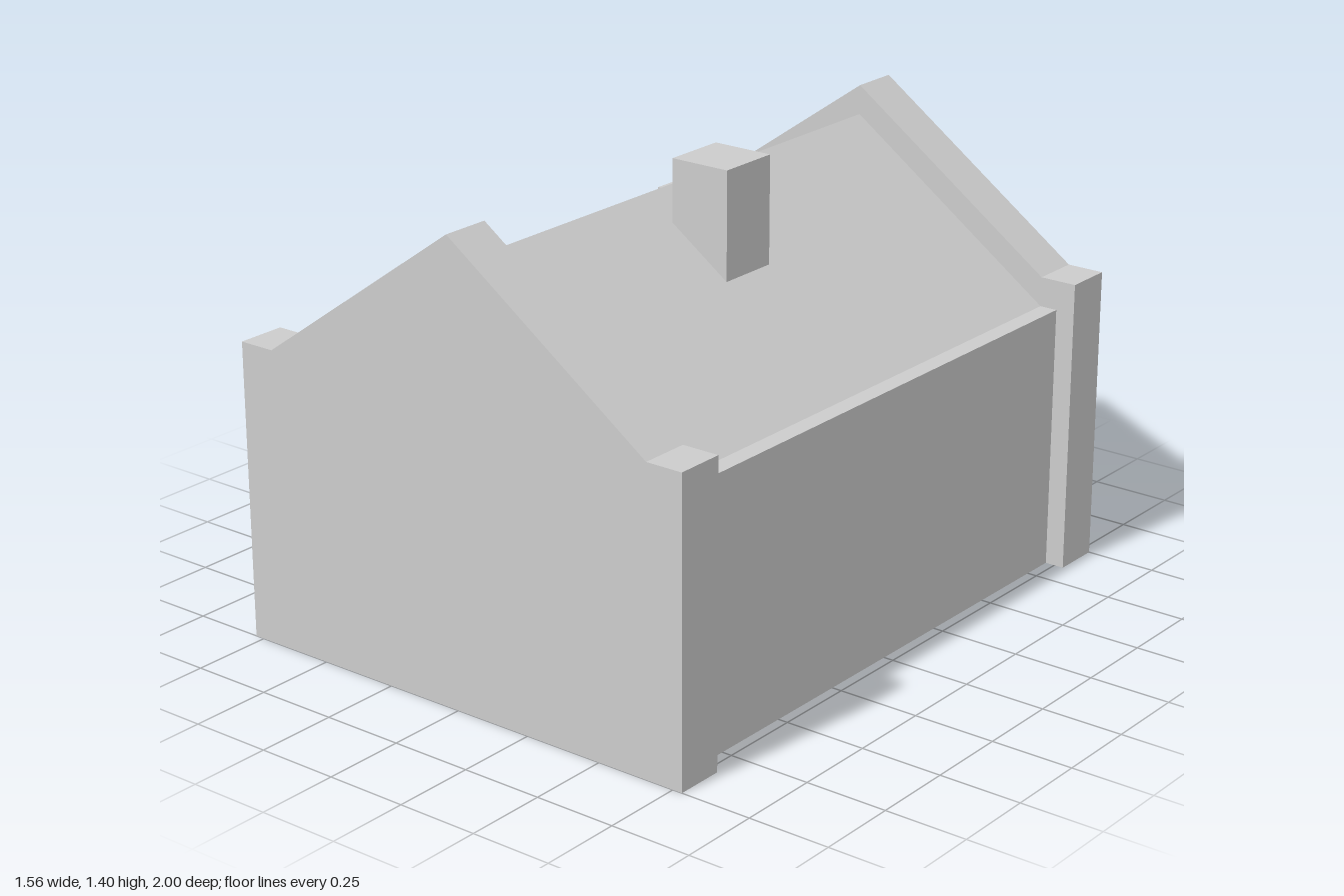
import * as THREE from 'three';

const stone = new THREE.MeshStandardMaterial({ color: 0xcccccc, side: THREE.DoubleSide });
stone.name = 'pale grey stone';

// Outlines run counterclockwise from the left base, over the ridge, to the right base
const mirrored = (half) => [...half, ...half.slice(0, -1).reverse().map(([x, y]) => [-x, y])];
const gableOutline = mirrored([[0.78, 0], [0.78, 0.9], [0.665, 0.9], [0, 1.37]]);
const bodyOutline = mirrored([[0.72, 0], [0.72, 0.81], [0.665, 0.81], [0, 1.28]]);
const chimneyOutline = [[0.285, 1.079], [0.285, 1.4], [0.095, 1.4], [0.095, 1.213]];

function addMesh(parent, name, geometry) {
  const mesh = new THREE.Mesh(geometry, stone);
  mesh.name = name;
  parent.add(mesh);
  return mesh;
}

// Open shell: an outline swept along z, with flat facets
function sweep(outline, front, back) {
  const positions = [];
  for (let i = 0; i < outline.length - 1; i++) {
    const [ax, ay] = outline[i];
    const [bx, by] = outline[i + 1];
    positions.push(
      ax, ay, front, ax, ay, back, bx, by, back,
      ax, ay, front, bx, by, back, bx, by, front
    );
  }
  const geometry = new THREE.BufferGeometry();
  geometry.setAttribute('position', new THREE.Float32BufferAttribute(positions, 3));
  geometry.computeVertexNormals();
  return geometry;
}

// Flat face facing +z, or -z when flipped
function face(outline, z, flipped = false) {
  const points = outline.map(([x, y]) => new THREE.Vector2(flipped ? -x : x, y));
  const geometry = new THREE.ShapeGeometry(new THREE.Shape(points));
  if (flipped) geometry.rotateY(Math.PI);
  return geometry.translate(0, 0, z);
}

// Hollow end wall whose parapet and corner piers stand proud of the body
function makeGable(name) {
  const gable = new THREE.Group();
  gable.name = name;
  addMesh(gable, 'gableFace', face(gableOutline, 1));
  addMesh(gable, 'parapetCoping', sweep(gableOutline, 1, 0.85));
  const band = [...gableOutline, ...[...bodyOutline].reverse()];
  addMesh(gable, 'parapetInnerFace', face(band, 0.85, true));
  return gable;
}

export function createModel() {
  const house = new THREE.Group();
  house.name = 'house';

  // Gable ends
  const backGable = makeGable('backGable');
  backGable.rotation.y = Math.PI;
  house.add(makeGable('frontGable'), backGable);

  // Side walls and pitched roof with narrow eaves ledges
  addMesh(house, 'leftWall', sweep(bodyOutline.slice(0, 2), 0.85, -0.85));
  addMesh(house, 'roof', sweep(bodyOutline.slice(1, -1), 0.85, -0.85));
  addMesh(house, 'rightWall', sweep(bodyOutline.slice(-2), 0.85, -0.85));

  // Chimney cut to the roof slope
  const chimney = new THREE.Group();
  chimney.name = 'chimney';
  addMesh(chimney, 'chimneySides', sweep(chimneyOutline, 0.175, -0.02));
  addMesh(chimney, 'chimneyFront', face(chimneyOutline, 0.175));
  addMesh(chimney, 'chimneyBack', face(chimneyOutline, -0.02, true));
  house.add(chimney);

  return house;
}
